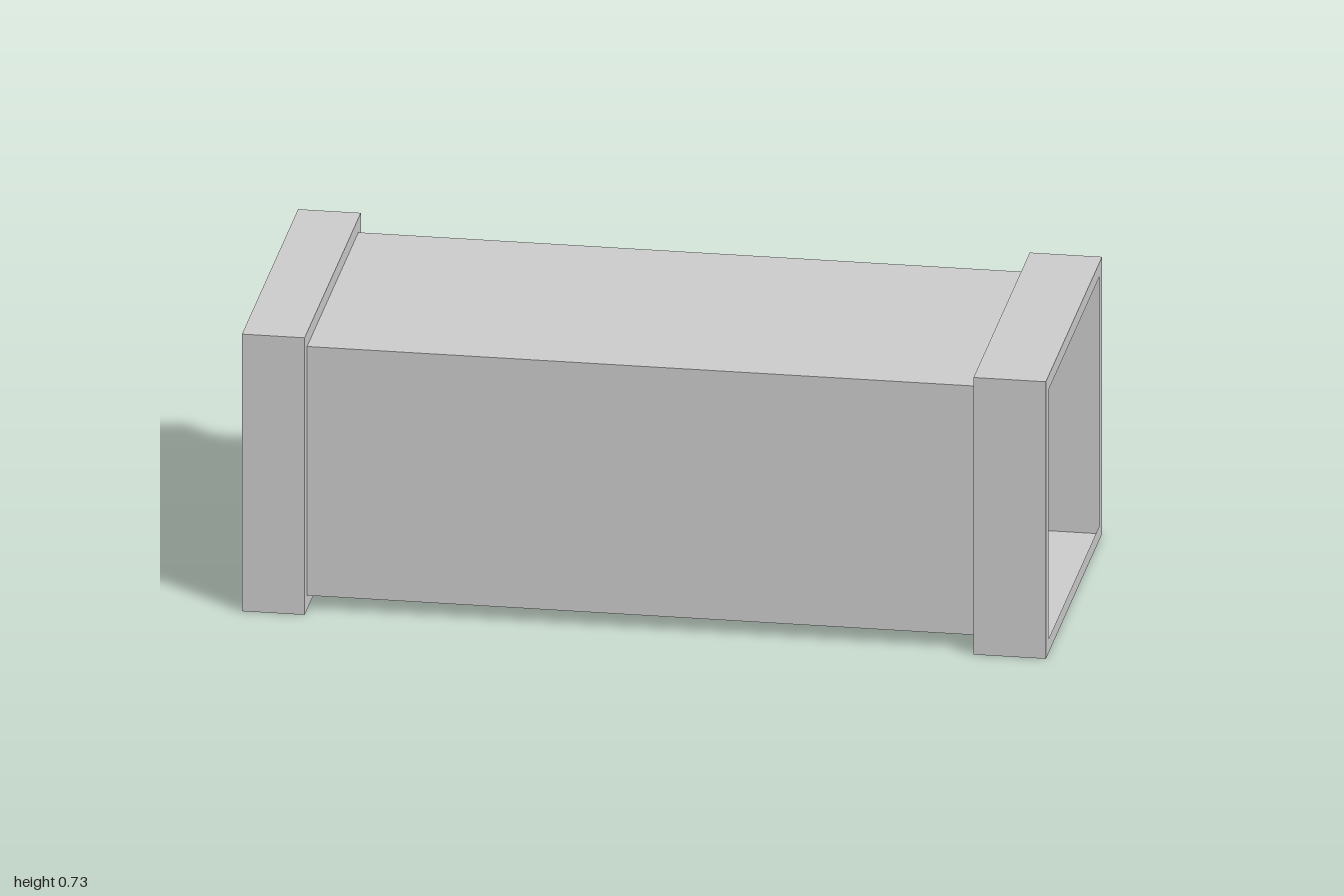
import * as THREE from 'three';

const HEIGHT = 0.73;   // collar outer height
const HALF_Z = 0.428;  // collar outer half depth
const STEP = 0.037;    // how far the duct sits inside the collars

// Sheet of four-sided rings along x; each profile point is [x, inset].
function rectSheet(name, profile) {
  const ring = ([x, inset]) => {
    const z = HALF_Z - inset, y0 = inset, y1 = HEIGHT - inset;
    return [[x, y0, z], [x, y1, z], [x, y1, -z], [x, y0, -z]];
  };
  const positions = [];
  for (let i = 0; i < profile.length - 1; i++) {
    const a = ring(profile[i]), b = ring(profile[i + 1]);
    for (let k = 0; k < 4; k++) {
      const n = (k + 1) % 4;
      positions.push(...a[k], ...b[k], ...b[n], ...a[k], ...b[n], ...a[n]);
    }
  }
  const geometry = new THREE.BufferGeometry();
  geometry.setAttribute('position', new THREE.Float32BufferAttribute(positions, 3));
  geometry.computeVertexNormals();
  const material = new THREE.MeshStandardMaterial({
    color: 0xcccccc, flatShading: true, side: THREE.DoubleSide,
  });
  const mesh = new THREE.Mesh(geometry, material);
  mesh.name = name;
  return mesh;
}

// Hollow channel collar: inner flange, outer wall, end lip, open inwards.
function collar(name, x0, x1) {
  return rectSheet(name, [[x0, STEP], [x0, 0], [x1, 0], [x1, STEP]]);
}

export function createModel() {
  const group = new THREE.Group();
  group.name = 'ductSection';
  const leftX = 0.82, rightX = -0.844;

  // thin open duct between the collars
  group.add(rectSheet('duct', [[rightX, STEP], [leftX, STEP]]));

  // end collars, slightly different in length
  group.add(collar('leftCollar', leftX, 1));
  group.add(collar('rightCollar', rightX, -1));
  return group;
}
